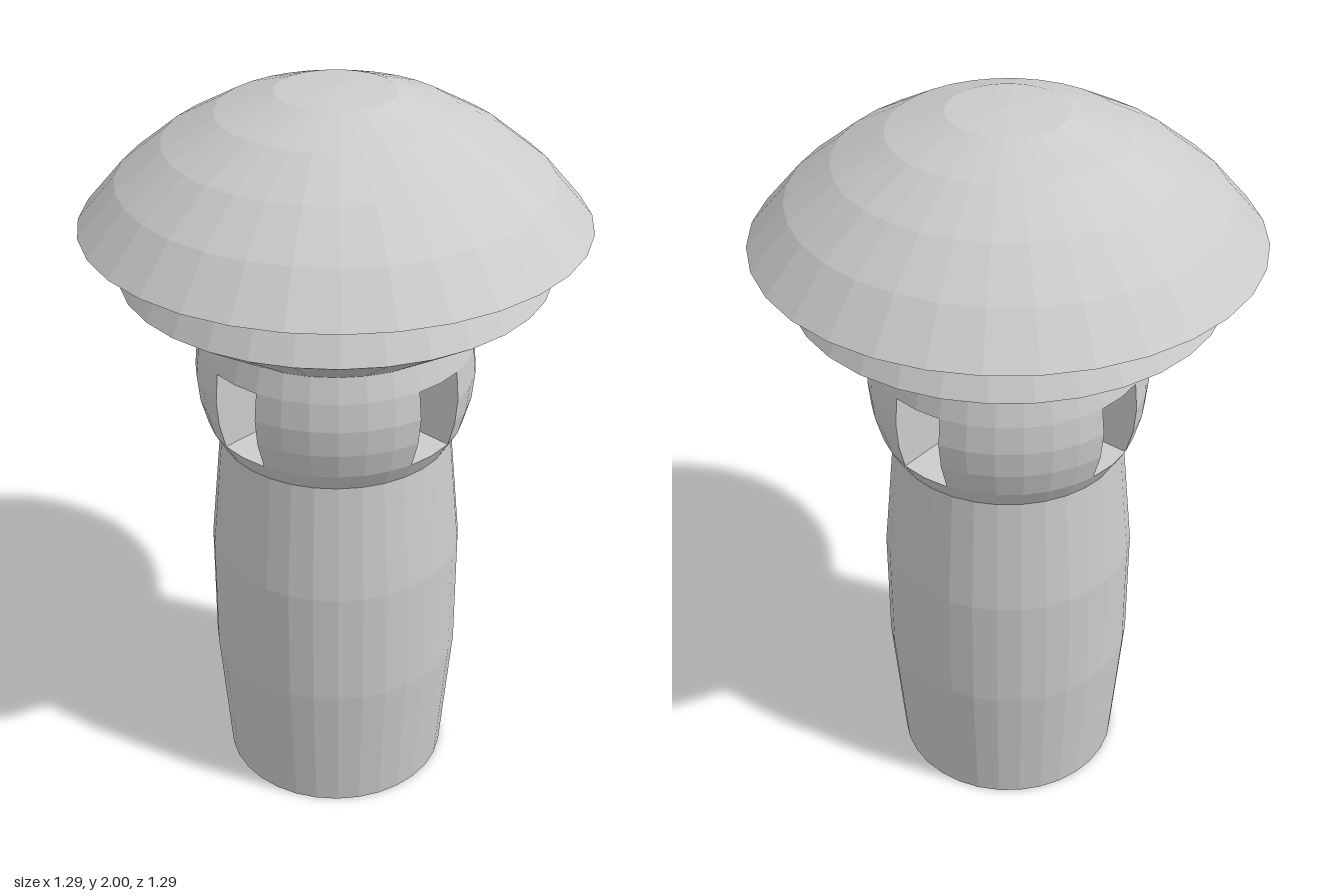
import * as THREE from 'three';

const SIDES = 32;
const HALF = 0.07; // half width of the window openings
const material = new THREE.MeshStandardMaterial({ color: 0xcccccc, flatShading: true });

// Turned solid from [radius, height] pairs, listed from bottom to top
function turned(name, profile) {
  const points = profile.map(([r, y]) => new THREE.Vector2(r, y));
  const mesh = new THREE.Mesh(new THREE.LatheGeometry(points, SIDES), material);
  mesh.name = name;
  return mesh;
}

// Solid quarter between two window tunnels, lofted through rings of the globe
function pillarGeometry(rings) {
  const positions = [], index = [];
  const step = (Math.PI * 2) / SIDES;
  for (const [r, y] of rings) {
    const edge = Math.sqrt(r * r - HALF * HALF);
    positions.push(HALF, y, HALF, HALF, y, edge);
    for (let i = 2; i <= 6; i++) positions.push(r * Math.sin(i * step), y, r * Math.cos(i * step));
    positions.push(edge, y, HALF);
  }
  const n = 8;
  for (let k = 0; k < rings.length - 1; k++) {
    for (let j = 0; j < n; j++) {
      const a = k * n + j, b = k * n + ((j + 1) % n);
      index.push(a, b, b + n, a, b + n, a + n);
    }
  }
  const geometry = new THREE.BufferGeometry();
  geometry.setAttribute('position', new THREE.Float32BufferAttribute(positions, 3));
  geometry.setIndex(index);
  geometry.computeVertexNormals();
  return geometry;
}

export function createModel() {
  const model = new THREE.Group();
  model.name = 'lanternPost';

  // Bulging post with a flat base
  model.add(turned('post', [[0, 0], [0.31, 0], [0.341, 0.39], [0.341, 0.72], [0.31, 1.05]]));

  // Globe below the windows; its flat top is the tunnel floor
  model.add(turned('globeBottom', [[0.31, 1.05], [0.341, 1.104], [0.001, 1.104]]));

  // Four pillars leave two crossing tunnels through the globe
  const pillars = new THREE.Group();
  pillars.name = 'windowPillars';
  const pillar = pillarGeometry([[0.341, 1.104], [0.361, 1.176], [0.368, 1.248], [0.361, 1.323]]);
  for (let i = 0; i < 4; i++) {
    const mesh = new THREE.Mesh(pillar, material);
    mesh.name = 'pillar' + (i + 1);
    mesh.rotation.y = (i * Math.PI) / 2;
    pillars.add(mesh);
  }
  model.add(pillars);

  // Globe above the windows; its flat underside is the tunnel ceiling
  model.add(turned('globeTop', [[0, 1.323], [0.361, 1.323], [0.344, 1.39]]));

  // Flared collar
  model.add(turned('collar', [[0.344, 1.39], [0.55, 1.524], [0.495, 1.63]]));

  // Domed cap with a sloping underside
  model.add(turned('cap', [
    [0.495, 1.63], [0.643, 1.66], [0.545, 1.773], [0.427, 1.867], [0.295, 1.94], [0.151, 1.988], [0, 2],
  ]));

  return model;
}
